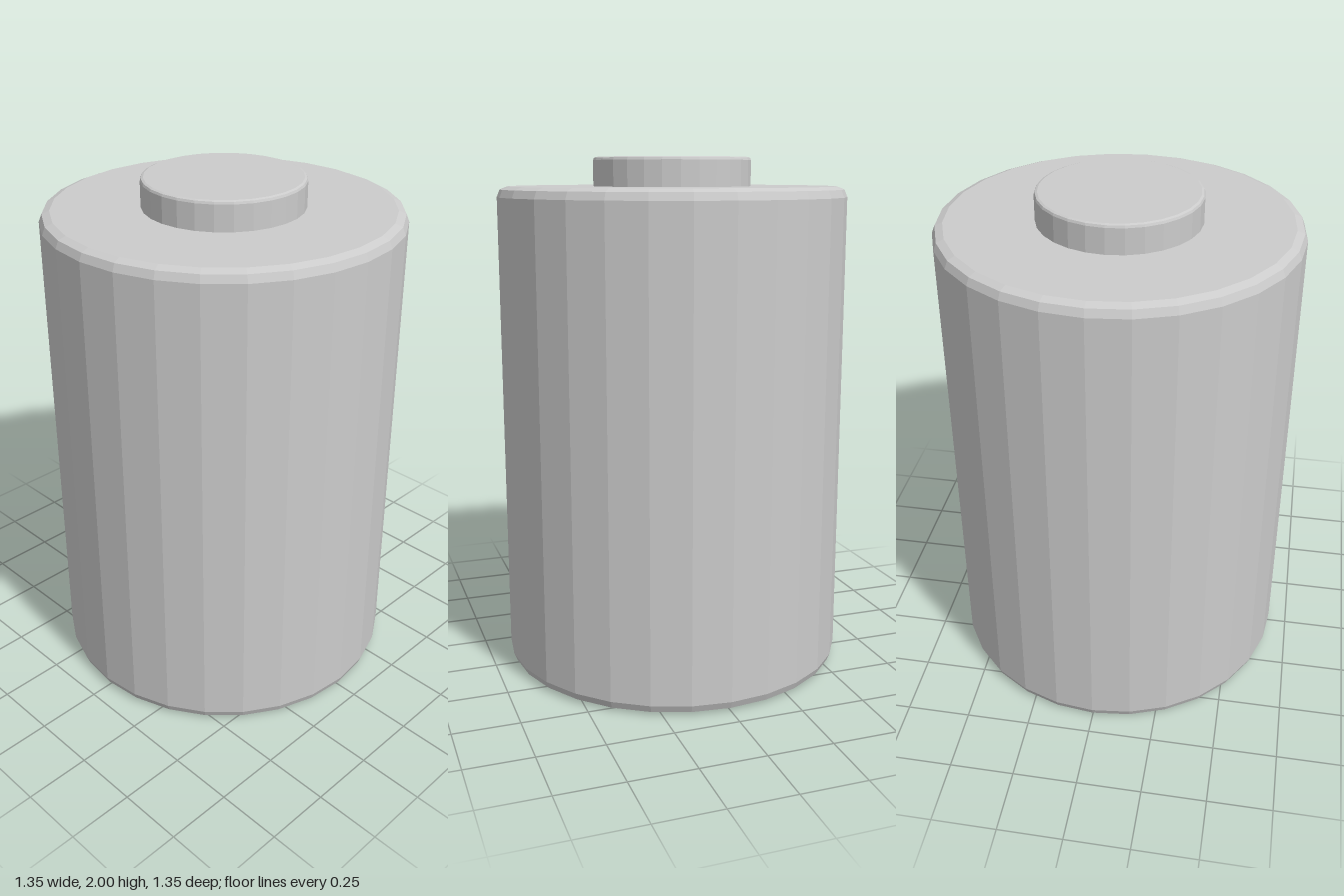
import * as THREE from 'three';

const SIDES = 28;

// Closed, faceted solid of revolution with a two-step rounded rim
function bevelledDrum(name, radius, bottom, top, bevel, roundBottom, material) {
  const mid = bevel * 0.29;
  const rim = [[radius, bevel], [radius - mid, mid], [radius - bevel, 0]];
  const lower = roundBottom
    ? [...rim].reverse().map(([r, d]) => new THREE.Vector2(r, bottom + d))
    : [new THREE.Vector2(radius, bottom)];
  const upper = rim.map(([r, d]) => new THREE.Vector2(r, top - d));
  const profile = [new THREE.Vector2(0, bottom), ...lower, ...upper, new THREE.Vector2(0, top)];
  const mesh = new THREE.Mesh(new THREE.LatheGeometry(profile, SIDES), material);
  mesh.name = name;
  return mesh;
}

export function createModel() {
  const model = new THREE.Group();
  model.name = 'battery';
  const material = new THREE.MeshStandardMaterial({ color: 0xcccccc, flatShading: true });

  // Main can, rounded at both ends
  model.add(bevelledDrum('body', 0.675, 0, 1.89, 0.04, true, material));
  // Raised contact on top
  model.add(bevelledDrum('terminal', 0.305, 1.88, 2, 0.012, false, material));

  return model;
}
